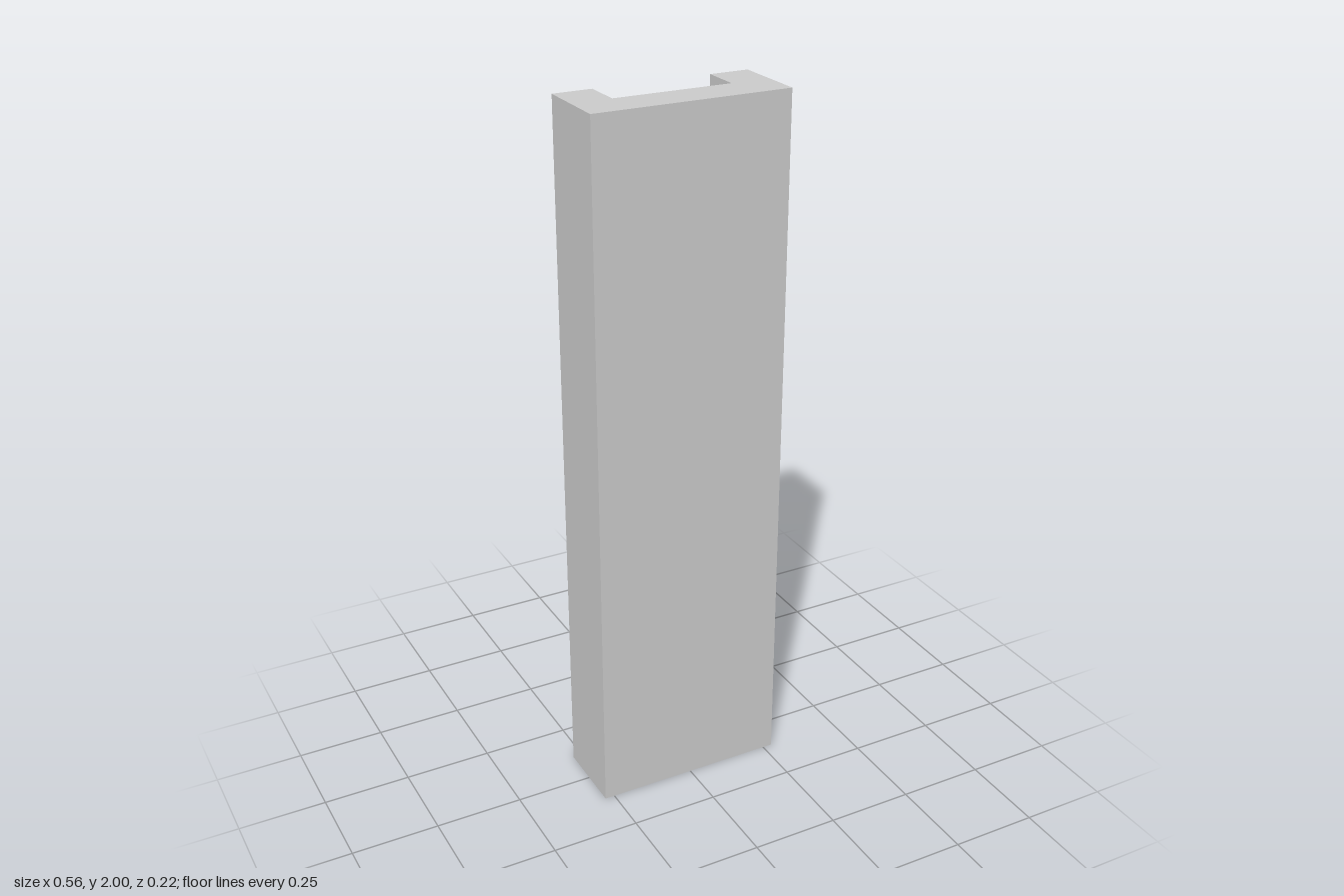
import * as THREE from 'three';

export function createModel() {
  const group = new THREE.Group();
  group.name = 'channel';

  const height = 2;
  const halfWidth = 0.278;
  const halfDepth = 0.111;
  const halfGroove = 0.167;

  // U-shaped cross-section, open towards the back (shape +y becomes -z)
  const profile = new THREE.Shape([
    [-halfWidth, -halfDepth],
    [halfWidth, -halfDepth],
    [halfWidth, halfDepth],
    [halfGroove, halfDepth],
    [halfGroove, 0],
    [-halfGroove, 0],
    [-halfGroove, halfDepth],
    [-halfWidth, halfDepth],
  ].map(([x, y]) => new THREE.Vector2(x, y)));

  // Extrude the profile upwards from the ground
  const geometry = new THREE.ExtrudeGeometry(profile, { depth: height, bevelEnabled: false });
  geometry.rotateX(-Math.PI / 2);

  const body = new THREE.Mesh(geometry, new THREE.MeshStandardMaterial({ color: 0xcccccc }));
  body.name = 'channelBody';
  group.add(body);
  return group;
}
